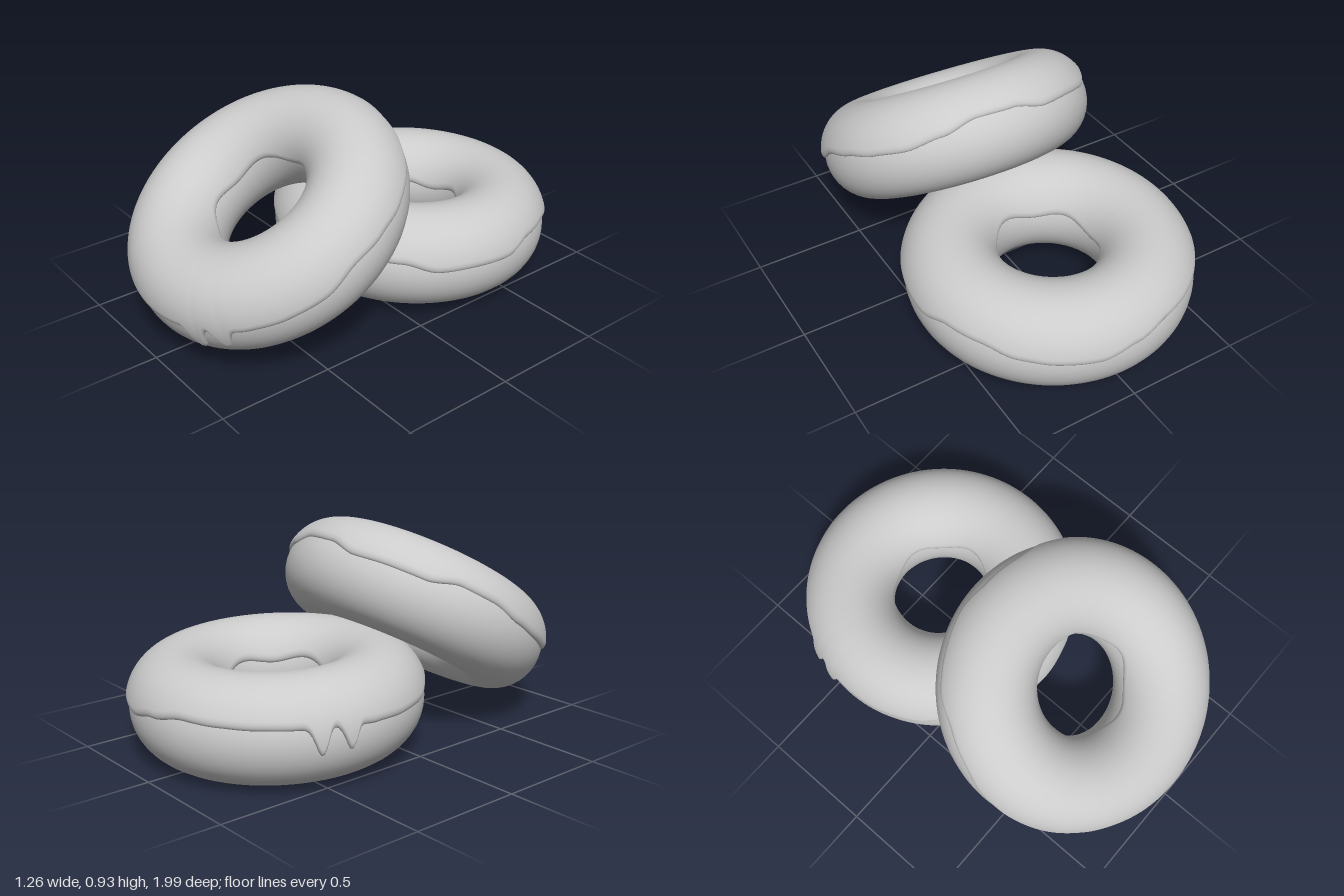
import * as THREE from 'three';

const R = 0.42, RH = 0.2, RV = 0.21; // ring radius, dough half width and half height
const LIP = 0.03;                    // length of the rounded icing edge
const DEG = Math.PI / 180;

// Height of the icing's outer edge, every 15 degrees round the ring
const EDGE = [0.075, 0.07, 0.07, 0.045, 0.035, 0.03, 0.055, 0.04, 0.02, 0.01, 0.03, 0.065,
  0.06, 0.025, 0.03, 0.03, 0.07, 0.07, 0.045, 0.035, 0.03, 0.06, 0.085, 0.08];

function outerEdge(deg) {
  const k = Math.floor(deg / 15) % 24, f = deg / 15 - Math.floor(deg / 15);
  const s = f * f * (3 - 2 * f);
  const drip = (at, depth) => depth * Math.exp(-0.5 * ((deg - at) / 2.1) ** 2);
  return EDGE[k] * (1 - s) + EDGE[(k + 1) % 24] * s - drip(22.4, 0.11) - drip(33.5, 0.1);
}

function innerEdge(deg) {
  const a = deg * DEG;
  return 0.06 - 0.02 * Math.cos(a) + 0.013 * Math.cos(5 * a - 0.9);
}

// Icing shell: a cross-section running from outer to inner edge, swept round the ring
function icingGeometry() {
  const N = 360, lipRows = 7, midRows = 30;
  const pos = [], index = [];
  let rows = 0;
  for (let i = 0; i < N; i++) {
    const deg = i * 360 / N, t = deg * DEG, w = LIP / RH;
    const start = Math.asin(outerEdge(deg) / RV);
    const end = Math.PI - Math.asin(innerEdge(deg) / RV);
    const section = [];
    const lip = [];
    for (let j = 0; j < lipRows; j++) {
      const q = j / lipRows * Math.PI / 2;
      lip.push([w * (1 - Math.cos(q)), Math.sin(q)]);
    }
    lip.forEach(([s, h]) => section.push([start + s, h]));
    for (let j = 0; j <= midRows; j++) {
      section.push([start + w + (end - start - 2 * w) * j / midRows, 1]);
    }
    lip.reverse().forEach(([s, h]) => section.push([end - s, h]));
    rows = section.length;
    for (const [phi, h] of section) {
      const o = h * (0.017 + 0.008 * Math.max(0, Math.sin(phi))) - 0.002;
      const rho = R + (RH + o) * Math.cos(phi);
      pos.push(rho * Math.sin(t), (RV + o) * Math.sin(phi), rho * Math.cos(t));
    }
  }
  for (let i = 0; i < N; i++) {
    for (let j = 0; j < rows - 1; j++) {
      const a = i * rows + j, b = ((i + 1) % N) * rows + j;
      index.push(a, b, b + 1, a, b + 1, a + 1);
    }
  }
  const g = new THREE.BufferGeometry();
  g.setAttribute('position', new THREE.Float32BufferAttribute(pos, 3));
  g.setIndex(index);
  g.computeVertexNormals();
  return g;
}

export function createModel() {
  const model = new THREE.Group();
  model.name = 'icedDoughnuts';
  const material = new THREE.MeshStandardMaterial({ color: 0xcccccc });
  const doughGeo = new THREE.TorusGeometry(R, RH, 40, 120).rotateX(Math.PI / 2).scale(1, RV / RH, 1);
  const icingGeo = icingGeometry();

  function addDoughnut(name, y, z, tilt, yaw) {
    const doughnut = new THREE.Group();
    doughnut.name = name;
    for (const [part, geo] of [['dough', doughGeo], ['icing', icingGeo]]) {
      const mesh = new THREE.Mesh(geo, material);
      mesh.name = part;
      doughnut.add(mesh);
    }
    doughnut.position.set(0, y, z);
    doughnut.rotation.set(tilt, yaw, 0);
    model.add(doughnut);
  }

  // One lies nearly flat at the back, the other leans on it in front
  addDoughnut('flatDoughnut', 0.224, -0.36, -0.033, -134 * DEG);
  addDoughnut('leaningDoughnut', 0.477, 0.424, 31.5 * DEG, 0);
  return model;
}
